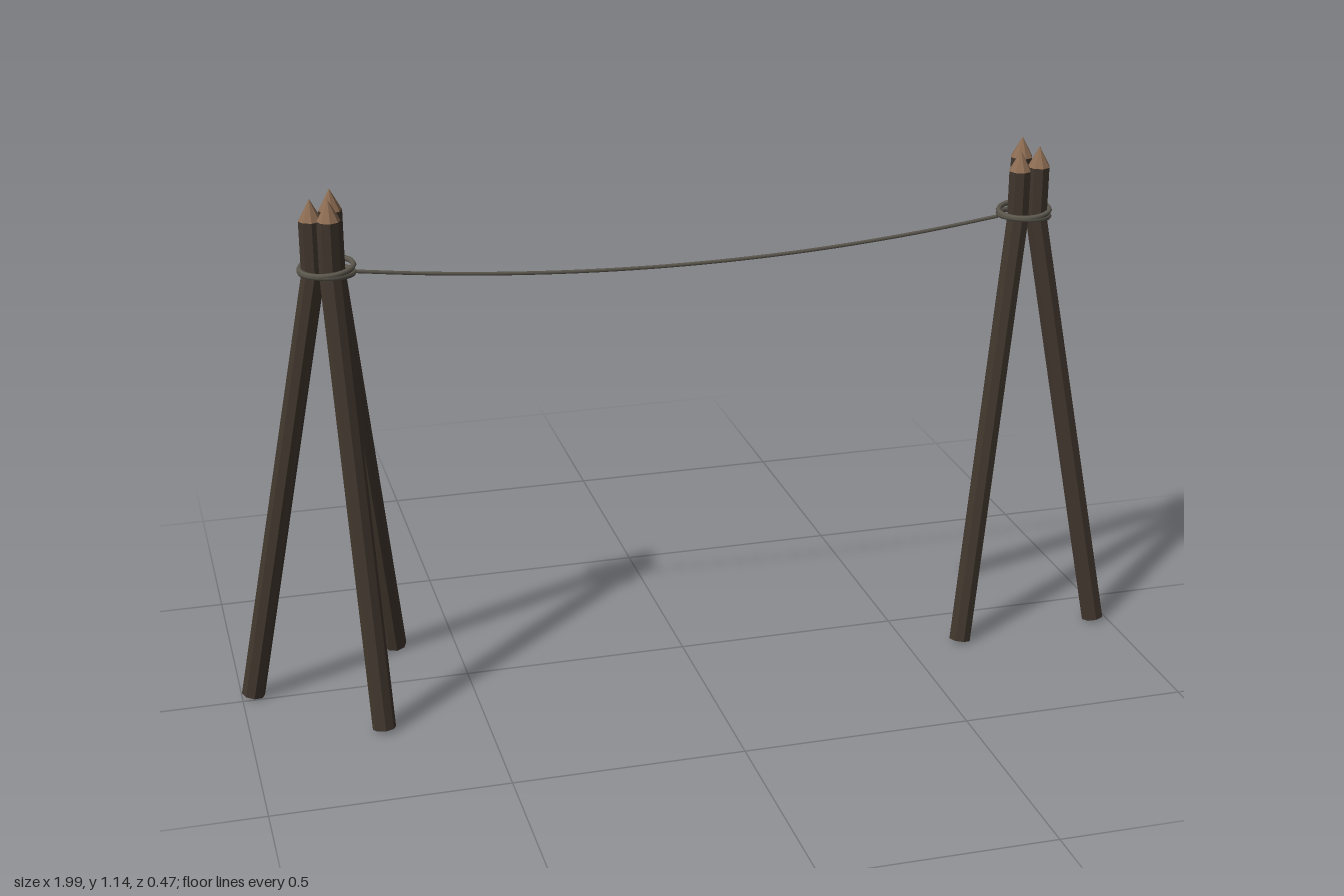
import * as THREE from 'three';

const mat = (color, flatShading) => new THREE.MeshStandardMaterial({ color, flatShading });
const wood = mat(0x40362d, true);
const cutWood = mat(0x8c6c52, true);
const cord = mat(0x5c584e, false);

const KNEE = 0.97; // height where the poles are lashed and turn upright
const R = 0.025;
const SIDES = 8;

// One pole: slanted leg, upright head and sharpened tip
function pole(foot, head, top) {
  const group = new THREE.Group();
  group.name = 'pole';

  const shaft = new THREE.CylinderGeometry(R, R, 2, SIDES, 2);
  const pos = shaft.attributes.position;
  const slope = { x: (head.x - foot.x) / KNEE, z: (head.z - foot.z) / KNEE };
  for (let i = 0; i < pos.count; i++) {
    const x = pos.getX(i), row = Math.round(pos.getY(i)) + 1, z = pos.getZ(i);
    const base = row === 0 ? foot : head;
    // the foot is cut square to the slanted leg
    const y = row === 0 ? 0.005 - x * slope.x - z * slope.z : row === 1 ? KNEE : top;
    pos.setXYZ(i, base.x + x, y, base.z + z);
  }
  shaft.computeVertexNormals();
  const shaftMesh = new THREE.Mesh(shaft, wood);
  shaftMesh.name = 'poleShaft';

  const tip = new THREE.Mesh(new THREE.ConeGeometry(R, 0.046, SIDES), cutWood);
  tip.name = 'poleTip';
  tip.position.set(head.x, top + 0.023, head.z);
  group.add(shaftMesh, tip);
  return group;
}

// Three poles bound together by two tilted rope loops
function tripod(name, cx, cz, feet) {
  const group = new THREE.Group();
  group.name = name;
  for (const [x, z, top] of feet) {
    const dir = new THREE.Vector2(x - cx, z - cz).setLength(0.028);
    group.add(pole({ x, z }, { x: cx + dir.x, z: cz + dir.y }, top));
  }
  [[0.984, 0.05, 0.06], [0.973, -0.07, -0.05]].forEach(([y, tiltX, tiltZ]) => {
    const loop = new THREE.Mesh(new THREE.TorusGeometry(0.056, 0.006, 6, 28).rotateX(Math.PI / 2), cord);
    loop.name = 'ropeLoop';
    loop.position.set(cx, y, cz);
    loop.rotation.set(tiltX, 0, tiltZ);
    group.add(loop);
  });
  return group;
}

export function createModel() {
  const model = new THREE.Group();
  model.name = 'ropeLine';

  model.add(
    tripod('rightTripod', -0.765, 0.004, [[-0.975, -0.02, 1.085], [-0.72, 0.208, 1.09], [-0.635, -0.175, 1.098]]),
    tripod('leftTripod', 0.785, 0.005, [[0.787, -0.213, 1.098], [0.967, 0.112, 1.085], [0.625, 0.138, 1.08]])
  );

  // Sagging rope between the two tripods
  const points = [];
  for (let i = 0; i <= 12; i++) {
    const t = i / 12;
    const s = 2 * t - 1;
    points.push(new THREE.Vector3(-0.71 + 1.44 * t, 0.919 + 0.049 * s * s, -0.012 * t));
  }
  const rope = new THREE.Mesh(
    new THREE.TubeGeometry(new THREE.CatmullRomCurve3(points), 36, 0.004, 6), cord);
  rope.name = 'rope';
  model.add(rope);
  return model;
}
